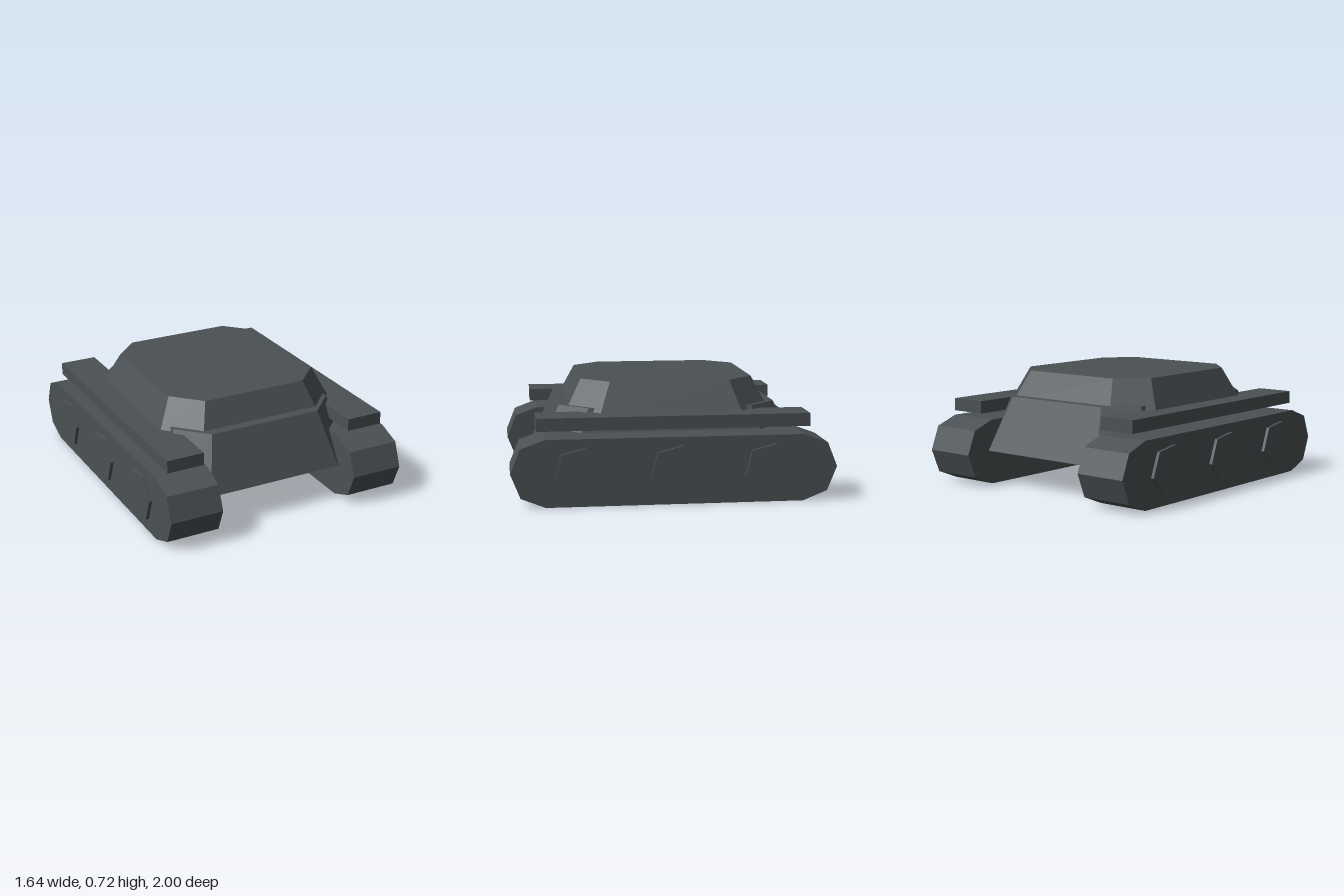
import * as THREE from 'three';

const material = new THREE.MeshStandardMaterial({ color: 0x4b5154, flatShading: true });

function part(name, geometry, parent) {
  const mesh = new THREE.Mesh(geometry, material);
  mesh.name = name;
  parent.add(mesh);
  return mesh;
}

// Tapered block with cut corners: a, B = front edge half-width and depth; A, b = side edge
function taperedOctagon([a, B, A, b], y0, y1, scale) {
  const ring = [[A, b], [A, -b], [a, -B], [-a, -B], [-A, -b], [-A, b], [-a, B], [a, B]];
  const low = ring.map(([x, z]) => [x, y0, z]);
  const high = ring.map(([x, z]) => [x * scale, y1, z * scale]);
  const out = [];
  const tri = (...points) => points.forEach((p) => out.push(...p));
  for (let i = 0; i < 8; i++) {
    const j = (i + 1) % 8;
    tri(low[i], low[j], high[j]);
    tri(low[i], high[j], high[i]);
    tri([0, y1, 0], high[i], high[j]);
    tri([0, y0, 0], low[j], low[i]);
  }
  const geometry = new THREE.BufferGeometry();
  geometry.setAttribute('position', new THREE.Float32BufferAttribute(out, 3));
  geometry.computeVertexNormals();
  return geometry;
}

// Faceted track outline pulled across the track width
function trackGeometry() {
  const half = [[0.79, 0], [0.94, 0.06], [1, 0.21], [0.94, 0.36], [0.79, 0.415]];
  const mirrored = half.map(([z, y]) => [-z, y]).reverse();
  const shape = new THREE.Shape([...half, ...mirrored].map(([z, y]) => new THREE.Vector2(z, y)));
  const geometry = new THREE.ExtrudeGeometry(shape, { depth: 0.34, bevelEnabled: false });
  return geometry.translate(0, 0, -0.17).rotateY(Math.PI / 2);
}

export function createModel() {
  const model = new THREE.Group();
  model.name = 'trackedVehicle';

  // Body
  part('hull', taperedOctagon([0.45, 0.83, 0.66, 0.62], 0.22, 0.56, 0.825), model);
  part('upperBody', taperedOctagon([0.405, 0.64, 0.6, 0.44], 0.53, 0.718, 0.85), model);

  // Running gear on each side
  for (const side of [1, -1]) {
    const gear = new THREE.Group();
    gear.name = side > 0 ? 'leftRunningGear' : 'rightRunningGear';
    model.add(gear);

    part('track', trackGeometry(), gear).position.x = side * 0.63;
    part('fender', new THREE.BoxGeometry(0.24, 0.08, 1.68), gear).position.set(side * 0.625, 0.495, 0);

    // Six-sided wheel hubs, turned differently on each side
    const turn = THREE.MathUtils.degToRad(side > 0 ? 104.5 : 69);
    for (const z of [-0.58, 0, 0.58]) {
      const hub = new THREE.CylinderGeometry(0.16, 0.16, 0.08, 6, 1, false, turn).rotateZ(Math.PI / 2);
      part('wheelHub', hub, gear).position.set(side * 0.78, 0.21, z);
    }
  }
  return model;
}
